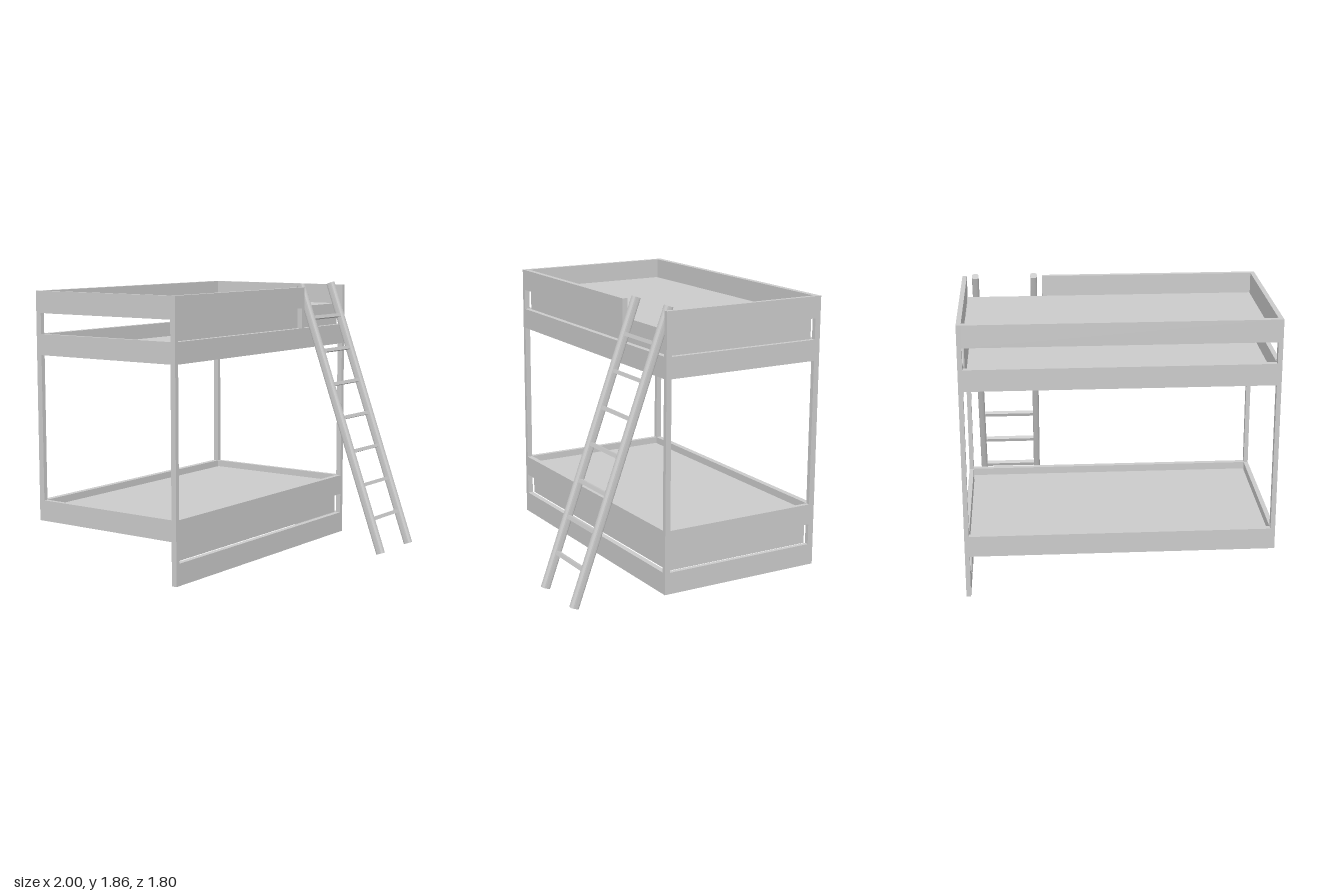
import * as THREE from 'three';

const grey = new THREE.MeshStandardMaterial({ color: 0xcccccc, flatShading: true });

// Box given by its min and max corners
function block(parent, name, [x0, x1], [y0, y1], [z0, z1]) {
  const m = new THREE.Mesh(new THREE.BoxGeometry(x1 - x0, y1 - y0, z1 - z0), grey);
  m.position.set((x0 + x1) / 2, (y0 + y1) / 2, (z0 + z1) / 2);
  m.name = name;
  parent.add(m);
}

// Extents of the frame: outer faces, inner faces, and the slightly smaller inner tray
const OX = 1, IX = 0.97, TX = 0.965;
const FRONT = [0.228, 0.265], BACK = [-0.9, -0.86];
const INNER_Z = [-0.86, 0.228], TRAY_Z = [-0.852, 0.218];
const LEFT = [IX, OX], RIGHT = [-OX, -IX];

function createFrame() {
  const g = new THREE.Group();
  g.name = 'bedFrame';

  // Corner posts; the rear right one stops at the lower rail
  for (const x of [LEFT, RIGHT]) {
    for (const z of [FRONT, BACK]) {
      const short = x === RIGHT && z === BACK;
      block(g, 'cornerPost', x, [short ? 0.3 : 0.015, 1.845], z);
    }
  }

  // Rails: [bottom, top, goes all the way round, right end of the front rail]
  const rails = [
    [0.015, 0.16, false, IX],
    [0.3, 0.44, true, IX],
    [1.42, 1.56, true, IX],
    [1.7, 1.845, true, 0.43],
  ];
  for (const [y0, y1, allRound, frontEnd] of rails) {
    block(g, 'frontRail', [-IX, frontEnd], [y0, y1], FRONT);
    block(g, 'leftEndRail', LEFT, [y0, y1], INNER_Z);
    if (allRound) {
      block(g, 'backRail', [-IX, IX], [y0, y1], BACK);
      block(g, 'rightEndRail', RIGHT, [y0, y1], INNER_Z);
    }
  }

  // Stub post beside the ladder opening
  block(g, 'guardPost', [0.43, 0.46], [1.56, 1.845], FRONT);
  return g;
}

// Bunk platforms and the recessed panels behind the front and left slots
function createBunks() {
  const g = new THREE.Group();
  g.name = 'bunks';
  const x = [-TX, TX];
  block(g, 'lowerPlatform', x, [0.38, 0.395], TRAY_Z);
  block(g, 'upperBase', x, [1.445, 1.46], TRAY_Z);
  block(g, 'upperPlatform', x, [1.695, 1.71], TRAY_Z);
  for (const y of [[0.16, 0.38], [1.46, 1.695]]) {
    block(g, 'frontPanel', x, y, [TRAY_Z[1] - 0.008, TRAY_Z[1]]);
    block(g, 'leftPanel', [TX - 0.008, TX], y, [TRAY_Z[0], TRAY_Z[1] - 0.008]);
  }
  return g;
}

// Leaning ladder, built upright and tilted about its foot
function createLadder() {
  const g = new THREE.Group();
  g.name = 'ladder';
  const rise = 1.838, run = 0.672, length = Math.hypot(rise, run);

  // Rounded section, longer front to back
  const w = 0.0225, d = 0.0305, r = 0.0215;
  const section = new THREE.Shape();
  section.moveTo(-w, -d + r);
  section.quadraticCurveTo(-w, -d, -w + r, -d);
  section.lineTo(w - r, -d);
  section.quadraticCurveTo(w, -d, w, -d + r);
  section.lineTo(w, d - r);
  section.quadraticCurveTo(w, d, w - r, d);
  section.lineTo(-w + r, d);
  section.quadraticCurveTo(-w, d, -w, d - r);
  const railGeo = new THREE.ExtrudeGeometry(section, { depth: length, bevelEnabled: false, curveSegments: 4 });
  railGeo.rotateX(-Math.PI / 2);

  for (const x of [0.517, 0.911]) {
    const rail = new THREE.Mesh(railGeo, grey);
    rail.name = 'ladderRail';
    rail.position.x = x;
    g.add(rail);
  }

  // Seven evenly spaced rungs
  const rungGeo = new THREE.BoxGeometry(0.36, 0.024, 0.032);
  for (let i = 0; i < 7; i++) {
    const rung = new THREE.Mesh(rungGeo, grey);
    rung.name = 'ladderRung';
    rung.position.set(0.714, (0.228 + i * 0.23) * length / rise, 0);
    g.add(rung);
  }
  g.position.set(0, 0.0205, 0.871);
  g.rotation.x = -Math.atan2(run, rise);
  return g;
}

export function createModel() {
  const model = new THREE.Group();
  model.name = 'bunkBed';
  model.add(createFrame(), createBunks(), createLadder());
  return model;
}
